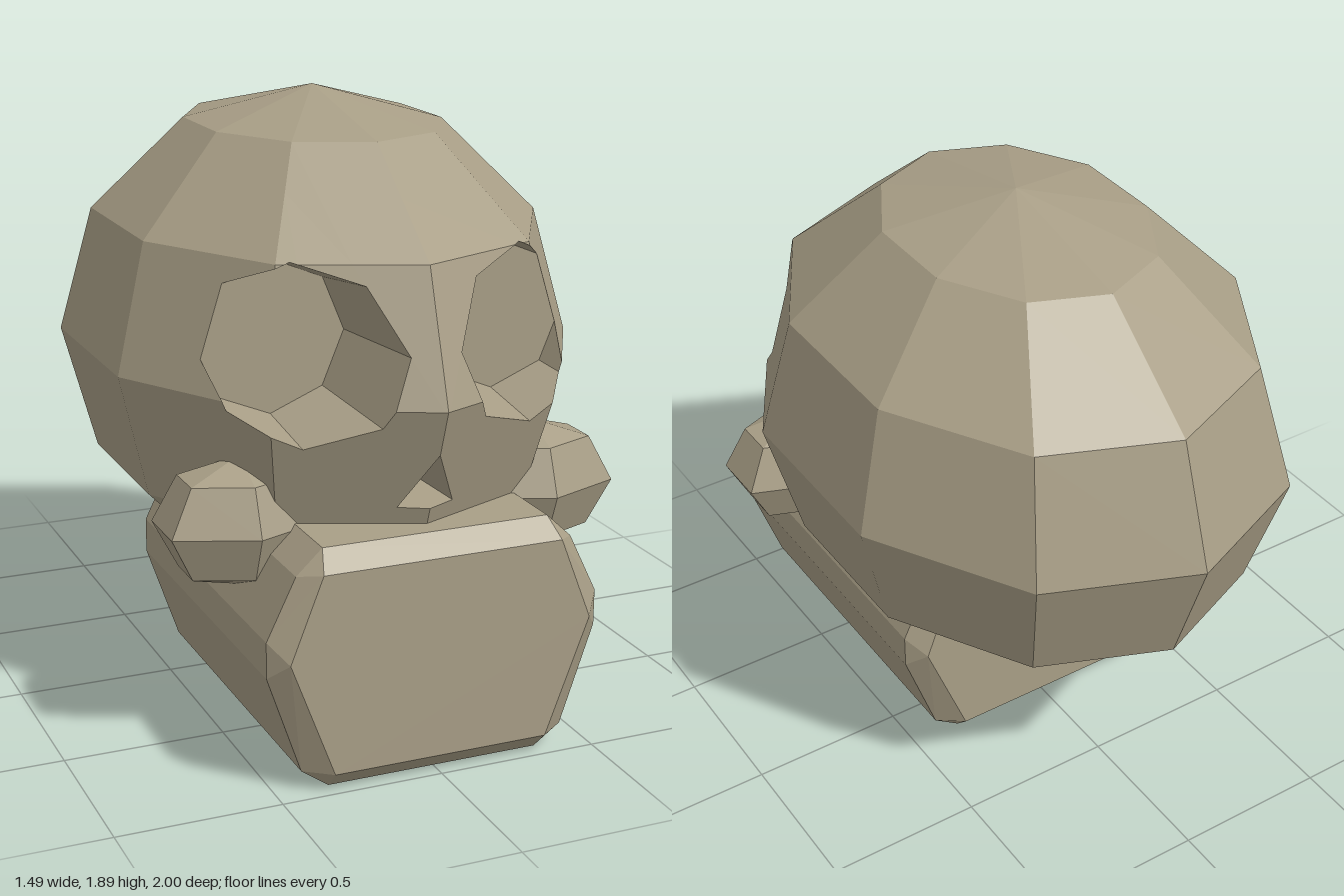
import * as THREE from 'three';
import { ConvexGeometry } from 'three/addons/geometries/ConvexGeometry.js';

const V = (x, y, z) => new THREE.Vector3(x, y, z);
const planeOf = (p) => new THREE.Plane().setFromCoplanarPoints(p[0], p[1], p[2]);

// Part of a convex polygon on one side of a plane (side = 1 above, -1 below)
function clip(poly, plane, side) {
  const out = [];
  poly.forEach((a, i) => {
    const b = poly[(i + 1) % poly.length];
    const da = side * plane.distanceToPoint(a);
    const db = side * plane.distanceToPoint(b);
    if (da >= 0) out.push(a);
    if ((da > 0 && db < 0) || (da < 0 && db > 0)) out.push(a.clone().lerp(b, da / (da - db)));
  });
  return out.length > 2 ? out : [];
}

// Remove a convex cutter from a list of polygons
function carve(polys, planes) {
  const kept = [];
  for (const poly of polys) {
    let rest = poly;
    const pieces = [];
    for (const plane of planes) {
      const outside = clip(rest, plane, 1);
      if (outside.length) pieces.push(outside);
      rest = clip(rest, plane, -1);
      if (!rest.length) break;
    }
    if (rest.length) kept.push(...pieces);
    else kept.push(poly);
  }
  return kept;
}

// Flat-faced geometry from convex polygons
function polyGeometry(polys) {
  const points = [];
  for (const p of polys) {
    for (let i = 1; i < p.length - 1; i++) points.push(p[0], p[i], p[i + 1]);
  }
  const geometry = new THREE.BufferGeometry().setFromPoints(points);
  geometry.computeVertexNormals();
  return geometry;
}

// Ten-sided ellipsoid with six bands
function craniumPolys() {
  const polys = [];
  const P = (i, j) => {
    const t = (i * Math.PI) / 6;
    const a = (j * Math.PI) / 5;
    const r = Math.sin(t);
    return V(0.783 * r * Math.sin(a), 1.105 + 0.785 * Math.cos(t), r * Math.cos(a));
  };
  for (let i = 0; i < 6; i++) {
    for (let j = 0; j < 10; j++) {
      if (i === 0) polys.push([P(0, j), P(1, j), P(1, j + 1)]);
      else if (i === 5) polys.push([P(5, j), P(6, j), P(5, j + 1)]);
      else polys.push([P(i, j), P(i + 1, j), P(i + 1, j + 1), P(i, j + 1)]);
    }
  }
  return polys;
}

// Tapered pit opening towards +z, with outward faces
function pitPolys(sides, start, cx, cy, zBack, rBack, taper) {
  const ring = (z) => Array.from({ length: sides }, (_, k) => {
    const a = start + (k * 2 * Math.PI) / sides;
    const r = rBack + taper * (z - zBack);
    return V(cx + r * Math.cos(a), cy + r * Math.sin(a), z);
  });
  const back = ring(zBack);
  const front = ring(1.2);
  const polys = back.map((p, k) => {
    const n = (k + 1) % sides;
    return [p, back[n], front[n], front[k]];
  });
  polys.push([...back].reverse());
  return polys;
}

export function createModel() {
  const model = new THREE.Group();
  const bone = new THREE.MeshStandardMaterial({ color: 0xa89e86, flatShading: true });
  bone.name = 'bone';
  const add = (name, geometry) => {
    const mesh = new THREE.Mesh(geometry, bone);
    mesh.name = name;
    model.add(mesh);
    return mesh;
  };

  // Cranium with eye sockets and nose opening cut into it
  const shell = craniumPolys();
  const shellPlanes = shell.map(planeOf);
  const pits = {
    leftEyeSocket: pitPolys(8, 0, 0.36, 1.25, 0.555, 0.232, 0.137),
    rightEyeSocket: pitPolys(8, 0, -0.36, 1.25, 0.555, 0.232, 0.137),
    noseOpening: pitPolys(3, Math.PI / 2, 0, 0.841, 0.65, 0.055, 0.227),
  };
  let cranium = shell;
  for (const [name, pit] of Object.entries(pits)) {
    cranium = carve(cranium, pit.map(planeOf));
    const walls = pit
      .map((p) => shellPlanes.reduce((q, plane) => (q.length ? clip(q, plane, -1) : q), p))
      .filter((p) => p.length)
      .map((p) => [...p].reverse());
    add(name, polyGeometry(walls));
  }
  add('cranium', polyGeometry(cranium));

  // Cheekbones
  for (const [name, s] of [['leftCheekbone', 1], ['rightCheekbone', -1]]) {
    const cheek = new THREE.SphereGeometry(1, 6, 4).rotateY(Math.PI / 6);
    cheek.scale(0.277, 0.2, 0.186);
    add(name, cheek).position.set(s * 0.475, 0.719, 0.6);
  }

  // Jaw: hexagonal block with chamfered edges
  const endFace = [[0.375, 0.675], [0.475, 0.42], [0.338, 0.06]];
  const girth = [[0.355, 0.735], [0.435, 0.66], [0.525, 0.475], [0.525, 0.365], [0.42, 0.06], [0.335, 0]];
  const jaw = [];
  for (const s of [1, -1]) {
    for (const z of [1, -0.21]) endFace.forEach(([x, y]) => jaw.push(V(s * x, y, z)));
    for (const z of [0.94, -0.15]) girth.forEach(([x, y]) => jaw.push(V(s * x, y, z)));
  }
  add('jaw', new ConvexGeometry(jaw));

  return model;
}
